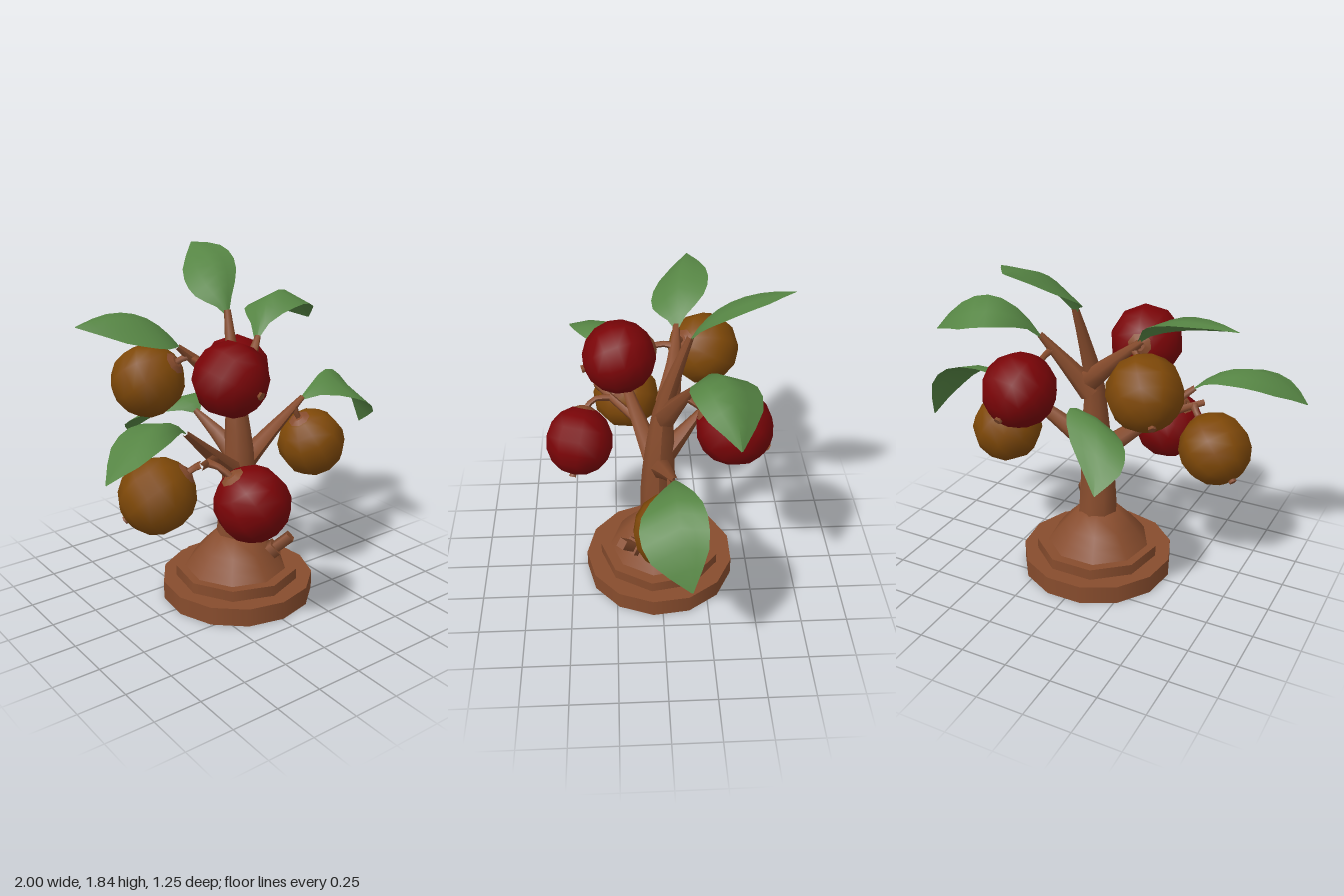
import * as THREE from 'three';

const mat = (name, color, side = THREE.FrontSide) => {
  const m = new THREE.MeshStandardMaterial({ color, side });
  m.name = name;
  return m;
};
const V = (a) => new THREE.Vector3(...a);
const UP = new THREE.Vector3(0, 1, 0);

export function createModel() {
  const bark = mat('bark brown', 0x874c2d);
  const red = mat('fruit red', 0x7a0407);
  const gold = mat('fruit gold', 0x7e4808);
  const green = mat('leaf green', 0x568544, THREE.DoubleSide);
  const model = new THREE.Group();
  model.name = 'fruitTree';

  const add = (parent, name, geo, material) => {
    const m = new THREE.Mesh(geo, material);
    m.name = name;
    parent.add(m);
    return m;
  };

  // Tube along points, radius interpolated through the given list
  const limb = (name, pts, radii, sides = 8) => {
    const curve = new THREE.CatmullRomCurve3(pts.map(V));
    const segs = (pts.length - 1) * 2;
    const geo = new THREE.TubeGeometry(curve, segs, 1, sides);
    const pos = geo.attributes.position;
    const p = new THREE.Vector3();
    for (let i = 0; i <= segs; i++) {
      const c = curve.getPointAt(i / segs);
      const f = (i / segs) * (radii.length - 1);
      const k = Math.min(Math.floor(f), radii.length - 2);
      const r = THREE.MathUtils.lerp(radii[k], radii[k + 1], f - k);
      for (let j = 0; j <= sides; j++) {
        const n = i * (sides + 1) + j;
        p.fromBufferAttribute(pos, n).sub(c).multiplyScalar(r).add(c);
        pos.setXYZ(n, p.x, p.y, p.z);
      }
    }
    geo.computeVertexNormals();
    return add(model, name, geo, bark);
  };

  // Stepped base and mound
  const disc = add(model, 'baseDisc', new THREE.CylinderGeometry(0.415, 0.415, 0.1, 13), bark);
  disc.position.set(0.008, 0.05, 0.003);
  const step = add(model, 'baseStep', new THREE.CylinderGeometry(0.335, 0.335, 0.06, 9), bark);
  step.position.set(0.008, 0.13, 0);
  const profile = [[0.28, 0.16], [0.235, 0.22], [0.19, 0.272], [0.11, 0.355], [0, 0.355]];
  add(model, 'mound', new THREE.LatheGeometry(profile.map((p) => new THREE.Vector2(...p)), 9), bark);

  // Cut twig on the mound
  const twig = new THREE.Group();
  twig.name = 'cutTwig';
  add(twig, 'twigCollar', new THREE.CylinderGeometry(0.055, 0.055, 0.06, 4), bark).position.y = 0.01;
  add(twig, 'twigStub', new THREE.CylinderGeometry(0.036, 0.036, 0.13, 4), bark).position.y = 0.08;
  twig.position.set(0.135, 0.25, 0.14);
  twig.quaternion.setFromUnitVectors(UP, V([0.08, 0.1, 0.08]).normalize());
  model.add(twig);

  // Trunk and branches
  limb('trunk', [[0.005, 0.34, 0], [0.012, 0.6, 0.01], [0.02, 0.85, 0], [0.015, 1.1, -0.02],
    [0.036, 1.35, -0.085], [0.056, 1.55, -0.148]], [0.11, 0.095, 0.08, 0.055, 0.036, 0.018]);
  const branches = [
    [[0.02, 0.72, 0], [0.22, 0.85, -0.02], [0.5, 1.015, -0.05]],
    [[0, 0.7, 0.01], [-0.22, 0.88, 0.11], [-0.455, 1.085, 0.21]],
    [[0.03, 1.06, -0.03], [0.13, 1.2, -0.08], [0.26, 1.38, -0.15]],
    [[0.02, 1.14, -0.04], [-0.13, 1.28, -0.08], [-0.29, 1.42, -0.1]],
    [[0.01, 0.8, -0.02], [-0.03, 0.89, -0.11], [-0.1, 1.01, -0.23]],
  ];
  branches.forEach((b) => limb('branch', b, [0.064, 0.04, 0.016], 6));

  // Thin twig carrying two fruits
  limb('fruitTwig', [[-0.2, 0.86, 0.1], [-0.32, 0.91, 0.22], [-0.46, 0.95, 0.34]], [0.026, 0.022, 0.018], 5);

  // Leaf: cross-sections spread between a ridge line and two side corners
  const widths = [0.07, 0.32, 0.65, 0.9, 1, 0.98, 0.84, 0.48, 0.02];
  const leaf = (base, tip, mid, left, right) => {
    const [b, t, m, l, r] = [base, tip, mid, left, right].map(V);
    // Bezier control point so the ridge passes through mid at s = 0.55
    const ctrl = m.clone().addScaledVector(b, -0.2025).addScaledVector(t, -0.3025).divideScalar(0.495);
    const ridge = new THREE.QuadraticBezierCurve3(b, ctrl, t);
    const pos = [], idx = [];
    widths.forEach((w, i) => {
      const c = ridge.getPoint(i / (widths.length - 1));
      for (const u of [-1, -0.5, 0, 0.5, 1]) {
        const side = (u < 0 ? l : r).clone().sub(m);
        const p = c.clone().addScaledVector(side, Math.abs(u) * w);
        pos.push(p.x, p.y, p.z);
      }
      if (i === 0) return;
      for (let j = 0; j < 4; j++) {
        const a = (i - 1) * 5 + j, d = a + 5;
        idx.push(a, a + 1, d, a + 1, d + 1, d);
      }
    });
    const geo = new THREE.BufferGeometry();
    geo.setAttribute('position', new THREE.Float32BufferAttribute(pos, 3));
    geo.setIndex(idx);
    geo.computeVertexNormals();
    add(model, 'leaf', geo, green);
  };
  // base, tip, ridge, then the two widest corners
  leaf([0.49, 1.01, -0.05], [0.995, 0.76, -0.105], [0.81, 1.05, -0.05], [0.86, 1.075, -0.18], [0.84, 0.96, 0.13]);
  leaf([-0.445, 1.08, 0.2], [-1, 1.018, 0.41], [-0.73, 1.19, 0.33], [-0.77, 1.14, 0.475], [-0.76, 1.15, 0.17]);
  leaf([0.25, 1.37, -0.15], [0.765, 1.385, -0.325], [0.51, 1.585, -0.27], [0.43, 1.48, -0.44], [0.58, 1.52, -0.13]);
  leaf([-0.27, 1.41, -0.1], [-0.805, 1.575, -0.185], [-0.53, 1.59, -0.13], [-0.5, 1.47, 0.02], [-0.46, 1.58, -0.275]);
  leaf([0.055, 1.53, -0.145], [0.155, 1.835, -0.625], [0.1, 1.77, -0.355], [-0.055, 1.66, -0.36], [0.255, 1.785, -0.38]);
  leaf([-0.09, 1, -0.22], [-0.29, 0.82, -0.62], [-0.19, 1.035, -0.4], [-0.36, 0.96, -0.43], [-0.005, 1.055, -0.36]);

  // Fruit: body with a stem cap, a blossom nub below and a stem to the wood
  const fruit = (material, center, dir, anchor) => {
    const g = new THREE.Group();
    g.name = 'fruit';
    const d = V(dir).normalize();
    add(g, 'fruitBody', new THREE.SphereGeometry(0.193, 10, 8), material);
    add(g, 'stemCap', new THREE.CylinderGeometry(0.03, 0.062, 0.016, 8), bark).position.y = 0.189;
    add(g, 'blossomNub', new THREE.CylinderGeometry(0.018, 0.022, 0.026, 5), bark).position.y = -0.192;
    g.position.copy(V(center));
    g.quaternion.setFromUnitVectors(UP, d);
    model.add(g);
    const top = V(center).addScaledVector(d, 0.18);
    const bend = V(center).addScaledVector(d, 0.23).lerp(V(anchor), 0.3);
    limb('fruitStem', [top.toArray(), bend.toArray(), anchor], [0.017, 0.017, 0.022], 5);
  };
  fruit(gold, [-0.595, 0.78, 0.17], [0.13, 0.12, 0.08], [-0.42, 0.94, 0.3]);
  fruit(red, [-0.22, 0.733, 0.437], [-0.5, 0.8, -0.2], [-0.36, 0.925, 0.26]);
  fruit(gold, [0.555, 0.743, -0.03], [-0.5, 0.85, 0], [0.43, 0.975, -0.04]);
  fruit(red, [0.262, 1.15, -0.357], [-0.13, 0.52, 0.82], [0.2, 1.3, -0.12]);
  fruit(red, [-0.178, 1.3, 0.203], [-0.2, 0.22, -0.95], [-0.2, 1.34, -0.09]);
  fruit(gold, [-0.375, 1.22, -0.252], [0.12, 0.14, 0.16], [-0.22, 1.36, -0.09]);

  return model;
}
